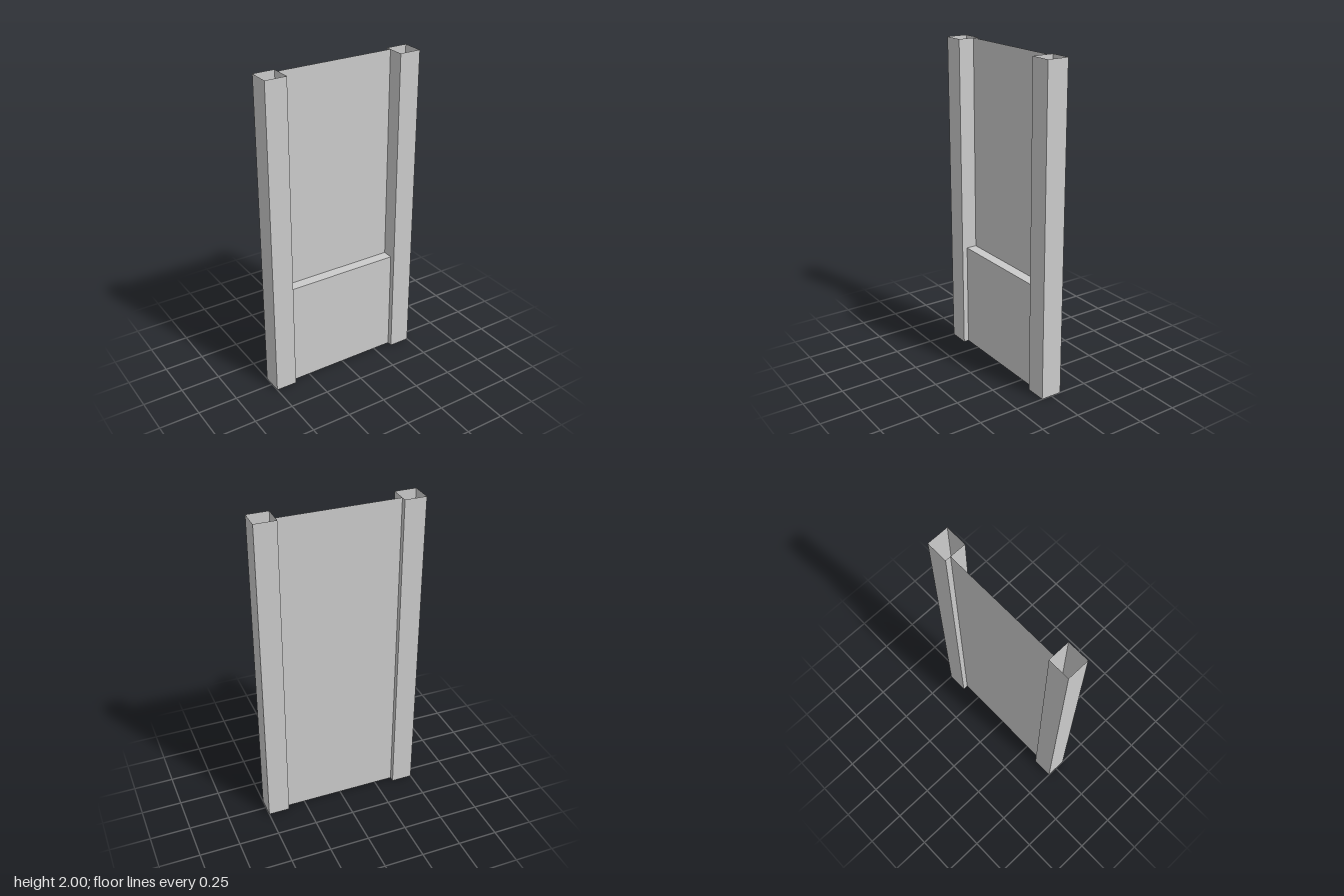
import * as THREE from 'three';

const HEIGHT = 2, POST = 0.1333, POST_X = 0.4333;
const SPAN = 0.7333, DEPTH = 0.0667, LEDGE_Y = 0.6667;

export function createModel() {
  const model = new THREE.Group();
  model.name = 'panelFrame';
  const material = new THREE.MeshStandardMaterial({
    color: 0xcccccc, flatShading: true, side: THREE.DoubleSide,
  });

  const add = (name, geometry, x, y, z) => {
    const mesh = new THREE.Mesh(geometry, material);
    mesh.name = name;
    mesh.position.set(x, y, z);
    model.add(mesh);
  };

  // Hollow square posts, open at the top and bottom
  const radius = POST / Math.SQRT2;
  const post = new THREE.CylinderGeometry(radius, radius, HEIGHT, 4, 1, true, Math.PI / 4);
  add('leftPost', post, POST_X, HEIGHT / 2, 0);
  add('rightPost', post, -POST_X, HEIGHT / 2, 0);

  // Full-height thin back sheet
  add('backPanel', new THREE.PlaneGeometry(SPAN, HEIGHT).rotateY(Math.PI), 0, HEIGHT / 2, -DEPTH / 2);

  // Low front sheet, joined to the back sheet by a ledge; open underneath
  add('lowerFrontPanel', new THREE.PlaneGeometry(SPAN, LEDGE_Y), 0, LEDGE_Y / 2, DEPTH / 2);
  add('ledge', new THREE.PlaneGeometry(SPAN, DEPTH).rotateX(-Math.PI / 2), 0, LEDGE_Y, 0);

  return model;
}
